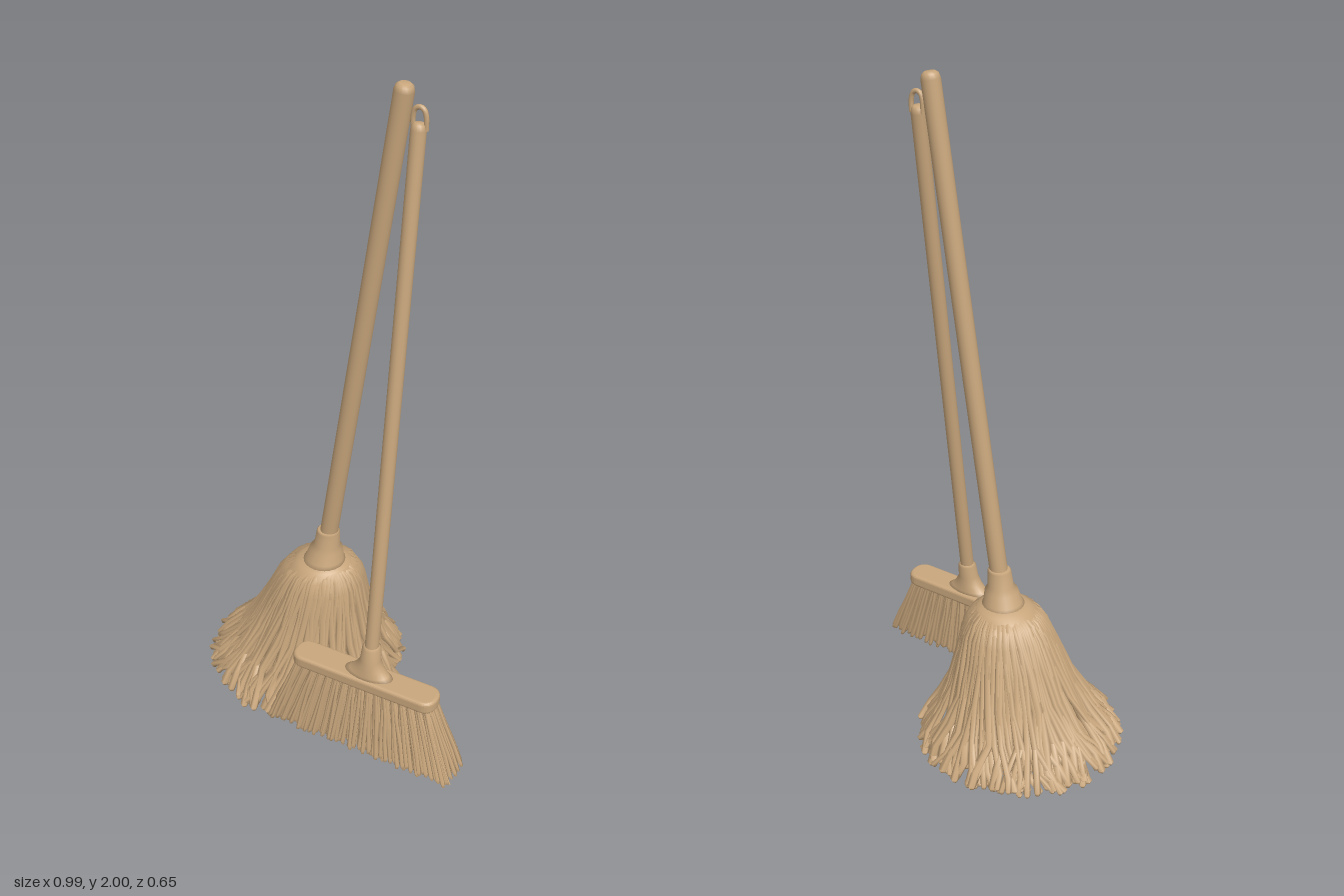
import * as THREE from 'three';
import { mergeGeometries } from 'three/addons/utils/BufferGeometryUtils.js';

const straw = new THREE.MeshStandardMaterial({ color: 0xc8a67c });
straw.name = 'straw tan';

// Seeded random numbers in -1..1
let seed = 7;
const rnd = () => {
  seed = (seed * 16807) % 2147483647;
  return (seed / 2147483647) * 2 - 1;
};
const lerp = THREE.MathUtils.lerp;

// Closed loft through horizontal ellipses [x, y, z, rx, rz], listed top to bottom
function loft(rings, sides) {
  const pos = [], idx = [], n = rings.length;
  for (const [x, y, z, rx, rz = rx] of rings)
    for (let i = 0; i < sides; i++) {
      const a = (i / sides) * Math.PI * 2;
      pos.push(x + rx * Math.sin(a), y, z + rz * Math.cos(a));
    }
  for (let r = 0; r < n - 1; r++)
    for (let i = 0; i < sides; i++) {
      const a = r * sides + i, b = r * sides + ((i + 1) % sides);
      idx.push(a, a + sides, b, b, a + sides, b + sides);
    }
  const top = n * sides, low = top + 1, last = (n - 1) * sides;
  pos.push(...rings[0].slice(0, 3), ...rings[n - 1].slice(0, 3));
  for (let i = 0; i < sides; i++) {
    const j = (i + 1) % sides;
    idx.push(top, i, j, low, last + j, last + i);
  }
  const g = new THREE.BufferGeometry();
  g.setAttribute('position', new THREE.Float32BufferAttribute(pos, 3));
  g.setIndex(idx);
  g.computeVertexNormals();
  return g;
}

function add(group, name, geometry) {
  const m = new THREE.Mesh(geometry, straw);
  m.name = name;
  group.add(m);
  return m;
}

// Round pole with softened ends between two points
function pole(group, name, from, to, r) {
  const a = new THREE.Vector3(...from), d = new THREE.Vector3(...to).sub(a), L = d.length();
  const profile = [[0, 0], [r, 0], [r, L - 0.02], [r * 0.85, L - 0.006], [r * 0.55, L], [0, L]];
  const m = add(group, name, new THREE.LatheGeometry(profile.map(p => new THREE.Vector2(...p)), 20));
  m.position.copy(a);
  m.quaternion.setFromUnitVectors(new THREE.Vector3(0, 1, 0), d.normalize());
}

// Mop outline: height, centre x, radius
const outline = [
  [0.43, -0.108, 0.075], [0.41, -0.115, 0.105], [0.37, -0.122, 0.128], [0.3, -0.135, 0.15],
  [0.2, -0.15, 0.185], [0.12, -0.163, 0.225], [0.06, -0.176, 0.268], [0.015, -0.185, 0.292],
];

function makeMop() {
  const mop = new THREE.Group();
  mop.name = 'mop';
  pole(mop, 'mopHandle', [-0.095, 0.5, 0.008], [0.14, 1.995, 0.008], 0.027);

  // Ferrule and cloth dome
  add(mop, 'mopCollar', loft([
    [-0.09, 0.555, 0.008, 0.03], [-0.09, 0.55, 0.008, 0.035], [-0.095, 0.5, 0.008, 0.039],
    [-0.098, 0.485, 0.008, 0.05], [-0.103, 0.45, 0.008, 0.058], [-0.108, 0.42, 0.008, 0.075],
  ], 24));
  add(mop, 'mopDome', loft([
    [-0.104, 0.446, 0.005, 0.05], [-0.108, 0.434, 0.005, 0.078], [-0.114, 0.415, 0.005, 0.1],
    [-0.122, 0.37, 0.005, 0.12], [-0.134, 0.3, 0.004, 0.135], [-0.146, 0.22, 0.002, 0.14],
    [-0.16, 0.12, 0, 0.15],
  ], 32));

  // Strands fill a disc at the floor and gather under the dome
  const strands = [], count = 400;
  for (let i = 0; i < count; i++) {
    const f = Math.sqrt((i + 0.5) / count), a = i * 2.39996;
    const spread = f > 0.8 ? 1 + 0.05 * rnd() : f;
    const phase = rnd() * 3, wave = 2 + rnd(), tipY = 0.022 + 0.012 * rnd();
    const thick = 0.011 + 0.0025 * rnd();
    const rings = outline.map(([y, cx, r], k) => {
      const t = k / (outline.length - 1);
      const ang = a + 0.1 * t * Math.sin(phase + wave * t * 4);
      const rad = r * lerp(f > 0.8 ? 0.95 : f, spread, t) + 0.007 * t * rnd();
      const x = cx + rad * Math.sin(ang);
      let z = lerp(0.005, -0.015, t) + rad * Math.cos(ang);
      if (x > -0.1) z = Math.min(z, 0.19);
      return [x, k === outline.length - 1 ? tipY : y, z, thick * (0.85 + 0.2 * t + 0.12 * rnd())];
    });
    const [x, y, z, r] = rings[rings.length - 1];
    rings.push([x, y - 0.009, z, r * 0.65]);
    strands.push(loft(rings, 6));
    // Forked ends around the rim
    if (f > 0.72 && i % 2) {
      const [sx, sy, sz] = rings[5], b = a + 0.13 * Math.sign(rnd());
      const ex = -0.185 + 0.285 * spread * Math.sin(b);
      let ez = -0.015 + 0.285 * spread * Math.cos(b);
      if (ex > -0.1) ez = Math.min(ez, 0.19);
      strands.push(loft([
        [sx, sy, sz, thick * 0.8], [lerp(sx, ex, 0.6), 0.07, lerp(sz, ez, 0.6), thick],
        [ex, 0.025, ez, thick], [ex, 0.014, ez, thick * 0.7],
      ], 6));
    }
  }
  add(mop, 'mopStrands', mergeGeometries(strands));
  return mop;
}

function makeBroom() {
  const broom = new THREE.Group();
  broom.name = 'broom';
  pole(broom, 'broomHandle', [0.171, 0.34, 0.219], [0.178, 1.9, 0.005], 0.021);

  // Hanging loop
  const arch = new THREE.CatmullRomCurve3([
    [-0.018, 1.88], [-0.018, 1.915], [-0.012, 1.933], [0, 1.939], [0.012, 1.933], [0.018, 1.915], [0.018, 1.88],
  ].map(([x, y]) => new THREE.Vector3(0.178 + x, y, 0.002)));
  add(broom, 'hangingLoop', new THREE.TubeGeometry(arch, 24, 0.007, 8));

  // Flared socket
  add(broom, 'broomSocket', loft([
    [0.171, 0.368, 0.215, 0.021], [0.171, 0.362, 0.216, 0.028], [0.17, 0.32, 0.222, 0.031],
    [0.169, 0.295, 0.223, 0.044, 0.033], [0.167, 0.275, 0.224, 0.062, 0.036], [0.165, 0.255, 0.224, 0.095, 0.038],
  ], 28));

  // Rounded block
  const w = 0.226, d = 0.034, c = 0.03, s = new THREE.Shape();
  s.moveTo(-w + c, -d);
  s.lineTo(w - c, -d);
  s.quadraticCurveTo(w, -d, w, 0);
  s.quadraticCurveTo(w, d, w - c, d);
  s.lineTo(-w + c, d);
  s.quadraticCurveTo(-w, d, -w, 0);
  s.quadraticCurveTo(-w, -d, -w + c, -d);
  const block = add(broom, 'broomBlock', new THREE.ExtrudeGeometry(s, {
    depth: 0.02, bevelThickness: 0.01, bevelSize: 0.01, bevelSegments: 4, curveSegments: 8,
  }));
  block.rotation.x = -Math.PI / 2;
  block.position.set(0.155, 0.236, 0.224);

  // Tufts of bristles, fanning sideways and forward
  const bristles = [], cols = 17, rows = 4, per = 6;
  for (let i = 0; i < cols; i++)
    for (let j = 0; j < rows; j++)
      for (let k = 0; k < per; k++) {
        const u = i / (cols - 1), v = j / (rows - 1), q = k * 1.047;
        const x0 = lerp(-0.055, 0.365, u) + 0.005 * Math.sin(q);
        const z0 = lerp(0.197, 0.252, v) + 0.004 * Math.cos(q);
        const x1 = lerp(-0.13, 0.448, u) + 0.016 * Math.sin(q) + 0.008 * rnd();
        const z1 = lerp(0.198, 0.292, v) + 0.011 * Math.cos(q) + 0.005 * rnd();
        const y1 = 0.018 + 0.008 * rnd();
        const at = (t, r) => [lerp(x0, x1, t) + 0.002 * rnd(), lerp(0.24, y1, t), lerp(z0, z1, t), r];
        bristles.push(loft([at(0, 0.005), at(0.35, 0.006), at(0.7, 0.007), at(0.95, 0.0075), at(1, 0.005)], 5));
      }
  // Stray bristle
  bristles.push(loft([[0.37, 0.2, 0.26, 0.002], [0.43, 0.11, 0.285, 0.002], [0.48, 0.045, 0.312, 0.002]], 5));
  add(broom, 'broomBristles', mergeGeometries(bristles));
  return broom;
}

export function createModel() {
  const model = new THREE.Group();
  model.name = 'mopAndBroom';
  model.add(makeMop(), makeBroom());
  return model;
}
